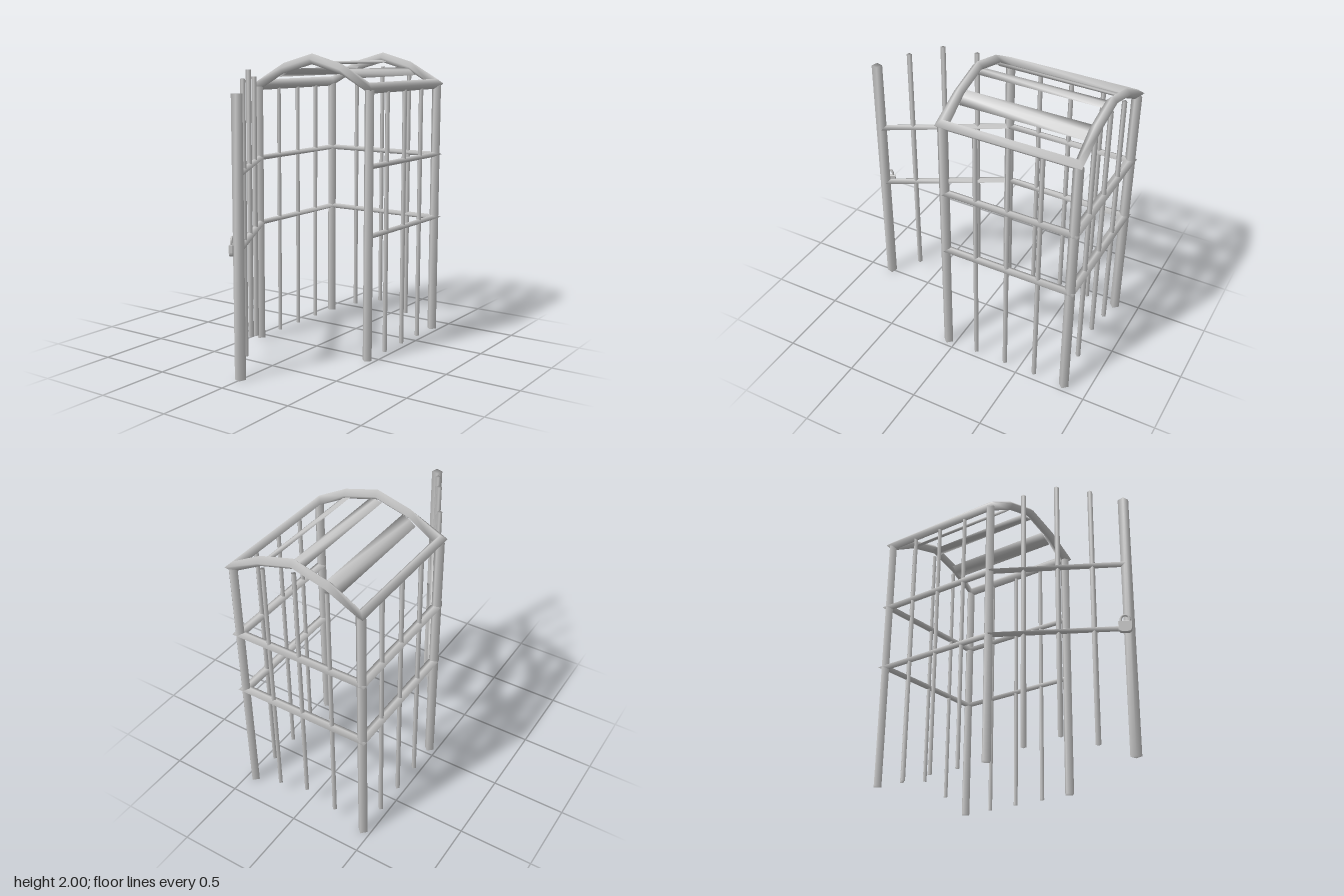
import * as THREE from 'three';

const V = (x, y, z) => new THREE.Vector3(x, y, z);
const material = new THREE.MeshStandardMaterial({ color: 0xcccccc });

function add(parent, name, geometry) {
  const mesh = new THREE.Mesh(geometry, material);
  mesh.name = name;
  parent.add(mesh);
  return mesh;
}

// Sweeps a four-cornered section through stations [centre, half-axis a, half-axis b]
function sweep(stations, closed = false) {
  const [c0, a0, b0] = stations[0];
  const flip = a0.clone().cross(b0).dot(stations[1][0].clone().sub(c0)) < 0 ? -1 : 1;
  const pos = [], idx = [], n = stations.length;
  for (const [c, a, b] of stations) {
    for (const [u, v] of [[1, 0], [0, flip], [-1, 0], [0, -flip]]) {
      pos.push(...c.clone().addScaledVector(a, u).addScaledVector(b, v).toArray());
    }
  }
  for (let i = 0; i < (closed ? n : n - 1); i++) {
    const p = i * 4, q = ((i + 1) % n) * 4;
    for (let k = 0; k < 4; k++) {
      const l = (k + 1) % 4;
      idx.push(p + k, p + l, q + l, p + k, q + l, q + k);
    }
  }
  if (!closed) {
    const e = (n - 1) * 4;
    idx.push(0, 2, 1, 0, 3, 2, e, e + 1, e + 2, e, e + 2, e + 3);
  }
  const g = new THREE.BufferGeometry();
  g.setAttribute('position', new THREE.Float32BufferAttribute(pos, 3));
  g.setIndex(idx);
  g.computeVertexNormals();
  return g;
}

// Upright bar with a diamond section
const upright = (x, z, y0, y1, r) =>
  sweep([y0, y1].map(y => [V(x, y, z), V(r, 0, 0), V(0, 0, r)]));

export function createModel() {
  const model = new THREE.Group();
  model.name = 'cage';
  const X = 0.445, ZF = 0.055, ZB = -0.835, R = 0.035, BAR = 0.017;
  const W = 2 * X, railHeights = [0.83, 1.285];
  const panelBars = [[0.25, 0.08, 1.85], [0.5, 0.14, 1.9], [0.75, 0.08, 1.85]];

  // Corner posts and side bars
  for (const s of [-1, 1]) {
    for (const z of [ZF, ZB]) add(model, 'cornerPost', upright(s * X, z, 0, 1.775, R));
    for (const t of [0.25, 0.5, 0.75]) {
      add(model, 'sideBar', upright(s * X, ZF + (ZB - ZF) * t, 0, 1.76, BAR));
    }
  }

  // Back bars
  for (const [t, y0, y1] of panelBars) {
    add(model, 'backBar', upright(-X + W * t, ZB, y0, y1, BAR));
  }

  // Flat rails round the sides and back, mitred at the rear corners
  for (const y of railHeights) {
    const b = V(0, 0.018, 0);
    add(model, 'wallRail', sweep([
      [V(X, y, ZF), V(R, 0, 0), b],
      [V(X, y, ZB), V(R, 0, -R), b],
      [V(-X, y, ZB), V(-R, 0, -R), b],
      [V(-X, y, ZF), V(-R, 0, 0), b],
    ]));
  }

  // Roof frame: two arches joined by the eaves in one closed loop
  const arch = [[-X, 1.785], [-0.235, 1.9], [0, 1.965], [0.235, 1.9], [X, 1.785]];
  const archStations = (z, s) => arch.map(([x, y]) => {
    const corner = Math.abs(x) === X ? Math.sign(x) * R : 0;
    return [V(x, y, z), V(corner, 0, s * R), V(0, R, 0)];
  });
  add(model, 'roofFrame', sweep([...archStations(ZF, 1), ...archStations(ZB, -1).reverse()], true));

  // Thin roof slats following the slope
  for (const [x, y, tilt, half] of [[-0.24, 1.87, 0.54, 0.055], [0, 1.935, 0, 0.047], [0.235, 1.87, -0.54, 0.055]]) {
    const c = Math.cos(tilt), s = Math.sin(tilt);
    add(model, 'roofSlat', sweep([0.03, -0.815].map(z =>
      [V(x, y, z), V(c * half, s * half, 0), V(-s * 0.011, c * 0.011, 0)])));
  }

  // Door, standing open on the right front post
  const door = new THREE.Group();
  door.name = 'door';
  door.position.set(-X, 0, ZF);
  door.rotation.y = -Math.PI / 3;
  model.add(door);
  add(door, 'doorPost', upright(W - 0.005, 0, 0, 1.77, R));
  for (const [t, y0, y1] of panelBars) add(door, 'doorBar', upright(W * t, 0, y0, y1, BAR));
  for (const y of railHeights) {
    add(door, 'doorRail', sweep([0, W - 0.005].map(x => [V(x, y, 0), V(0, 0, R), V(0, 0.018, 0)])));
  }

  // Padlock on the outer face of the door post
  const lock = new THREE.Group();
  lock.name = 'padlock';
  lock.position.set(W - 0.03, 0.785, 0.045);
  door.add(lock);
  const body = new THREE.Shape();
  body.moveTo(-0.04, 0.068);
  body.lineTo(-0.04, 0.025);
  body.quadraticCurveTo(-0.038, 0, -0.015, 0);
  body.lineTo(0.015, 0);
  body.quadraticCurveTo(0.038, 0, 0.04, 0.025);
  body.lineTo(0.04, 0.068);
  const bodyGeometry = new THREE.ExtrudeGeometry(body, {
    depth: 0.02, bevelThickness: 0.004, bevelSize: 0.004, bevelSegments: 1, curveSegments: 5,
  });
  bodyGeometry.translate(0, 0, -0.01);
  add(lock, 'padlockBody', bodyGeometry);
  const bow = [V(-0.026, 0.06, 0), V(-0.026, 0.09, 0)];
  for (let i = 1; i < 6; i++) {
    const a = Math.PI * (1 - i / 6);
    bow.push(V(0.026 * Math.cos(a), 0.09 + 0.024 * Math.sin(a), 0));
  }
  bow.push(V(0.026, 0.09, 0), V(0.026, 0.06, 0));
  add(lock, 'padlockShackle', new THREE.TubeGeometry(new THREE.CatmullRomCurve3(bow), 20, 0.008, 8));

  return model;
}
